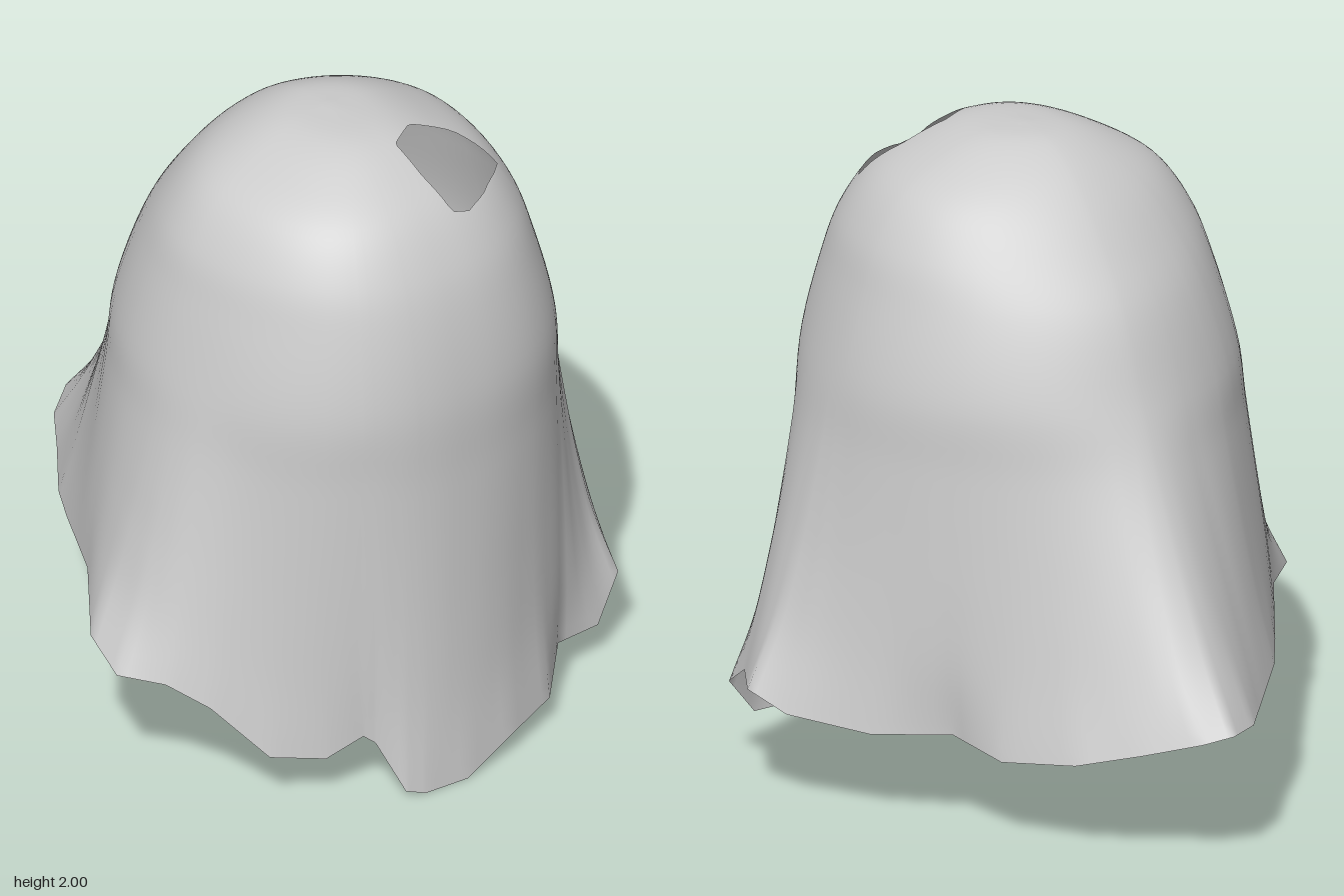
import * as THREE from 'three';

// Hem of the cloth, walked from the back corner past +x, the front and -x
const HEM = [
  [-0.02, 0.42, -0.97], [0.07, 0.40, -0.94], [0.2, 0.35, -0.81], [0.34, 0.295, -0.65],
  [0.46, 0.26, -0.42], [0.51, 0.295, -0.22], [0.69, 0.275, -0.04], [0.85, 0.30, 0.18],
  [0.915, 0.355, 0.30], [0.81, 0.34, 0.50], [0.77, 0.25, 0.66], [0.66, 0.125, 0.70],
  [0.5, 0.13, 0.71], [0.33, 0.09, 0.88], [0.13, 0.07, 0.945], [-0.05, 0.0, 0.965],
  [-0.2, 0.0, 0.95], [-0.26, 0.02, 0.93], [-0.32, 0.18, 0.86], [-0.35, 0.205, 0.84],
  [-0.46, 0.15, 0.80], [-0.61, 0.175, 0.72], [-0.74, 0.34, 0.60], [-0.83, 0.41, 0.50],
  [-0.92, 0.42, 0.38], [-0.89, 0.47, 0.22], [-0.7, 0.51, -0.03], [-0.52, 0.46, -0.35],
  [-0.43, 0.44, -0.50], [-0.25, 0.41, -0.73], [-0.14, 0.41, -0.88],
].map(p => new THREE.Vector3(...p));

// Dome rings: height, then reach to the sides, front and back
const RINGS = [
  [2.0, 0, 0, 0], [1.985, 0.15, 0.215, 0.15], [1.93, 0.29, 0.345, 0.27], [1.84, 0.43, 0.47, 0.38],
  [1.7, 0.525, 0.565, 0.50], [1.55, 0.575, 0.62, 0.605], [1.3, 0.64, 0.665, 0.705],
];

// Outline of the torn hole, seen from above (x, z)
const HOLE = [
  [0.04, 0.51], [0.14, 0.45], [0.28, 0.48], [0.38, 0.57], [0.33, 0.62],
  [0.22, 0.70], [0.14, 0.735], [0.08, 0.73], [0.05, 0.63],
];
const HOLE_X = 0.19, HOLE_Z = 0.6;
const CZ = 0.25; // the dome is centred a little forward
const ROWS = 60;
const STEPS = 5; // meridians per hem point

// Distance from the hole's middle to its outline in direction (dx, dz)
function holeReach(dx, dz) {
  for (let k = 0; k < HOLE.length; k++) {
    const [ax, az] = HOLE[k], [bx, bz] = HOLE[(k + 1) % HOLE.length];
    const px = ax - HOLE_X, pz = az - HOLE_Z, ex = bx - ax, ez = bz - az;
    const det = dx * ez - dz * ex;
    if (Math.abs(det) < 1e-9) continue;
    const dist = (px * ez - pz * ex) / det;
    const along = (px * dz - pz * dx) / det;
    if (dist > 0 && along >= 0 && along <= 1) return dist;
  }
  return 0;
}

// Point on the straight-edged hem, u counted in hem points
function hemAt(u) {
  const n = HEM.length, v = (u + n) % n, k = Math.floor(v);
  return HEM[k].clone().lerp(HEM[(k + 1) % n], v - k);
}

// Hem with its folds softened, which the cloth follows higher up
function softHemAt(u) {
  const sum = new THREE.Vector3();
  for (let k = -2; k <= 2; k++) sum.add(hemAt(u + k * 0.75));
  return sum.divideScalar(5);
}

// One fall line of the cloth, from the crown to a hem point
function meridian(u) {
  const hem = hemAt(u), soft = softHemAt(u);
  const angle = Math.atan2(hem.x, hem.z - CZ);
  const s = Math.sin(angle), c = Math.cos(angle);
  const power = c > 0 ? 2 + 0.3 * c : 2 + 0.25 * c; // squarer in front, pointed at the back
  const points = RINGS.map(([y, side, front, back]) => {
    const r = y === 2 ? 0 : Math.pow(
      Math.pow(Math.abs(s) / side, power) + Math.pow(Math.abs(c) / (c > 0 ? front : back), power), -1 / power);
    return new THREE.Vector3(s * r, y, CZ + c * r);
  });
  const shoulder = points[points.length - 1];
  for (const t of [0.2, 0.4, 0.6, 0.8, 1]) {
    const target = soft.clone().lerp(hem, Math.pow(t, 4));
    const p = shoulder.clone().lerp(target, Math.pow(t, 1.1));
    p.y = THREE.MathUtils.lerp(shoulder.y, hem.y, t);
    points.push(p);
  }
  return new THREE.CatmullRomCurve3(points).getPoints(ROWS);
}

function drapedCloth() {
  const cols = HEM.length * STEPS;
  const positions = [], index = [];
  for (let i = 0; i < cols; i++) {
    for (const p of meridian(i / STEPS)) positions.push(p.x, p.y, p.z);
  }
  const id = (i, j) => (i % cols) * (ROWS + 1) + j;
  for (let i = 0; i < cols; i++) {
    for (let j = 0; j < ROWS; j++) {
      const a = id(i, j), b = id(i + 1, j), c = id(i, j + 1), d = id(i + 1, j + 1);
      if (j > 0) index.push(a, b, c);
      index.push(b, d, c);
    }
  }
  const geometry = new THREE.BufferGeometry();
  geometry.setAttribute('position', new THREE.Float32BufferAttribute(positions, 3));
  geometry.setIndex(index);
  geometry.computeVertexNormals();
  const pos = geometry.attributes.position, nor = geometry.attributes.normal;
  for (let i = 0; i < cols; i++) nor.setXYZ(id(i, 0), 0, 1, 0);

  // Cut the hole: slide inner vertices along the surface to the outline, drop what lies within
  const inside = new Set();
  for (let v = 0; v < pos.count; v++) {
    const dx = pos.getX(v) - HOLE_X, dz = pos.getZ(v) - HOLE_Z, d = Math.hypot(dx, dz);
    if (pos.getY(v) < 1.6 || d > 0.3 || d < 1e-6) continue;
    const reach = holeReach(dx / d, dz / d);
    if (d >= reach) continue;
    inside.add(v);
    const mx = dx * (reach / d - 1), mz = dz * (reach / d - 1);
    const drop = (nor.getX(v) * mx + nor.getZ(v) * mz) / nor.getY(v);
    pos.setXYZ(v, pos.getX(v) + mx, pos.getY(v) - drop, pos.getZ(v) + mz);
  }
  const kept = [];
  for (let k = 0; k < index.length; k += 3) {
    const tri = index.slice(k, k + 3);
    if (!tri.every(v => inside.has(v))) kept.push(...tri);
  }
  geometry.setIndex(kept);
  return geometry;
}

export function createModel() {
  const group = new THREE.Group();
  group.name = 'drapedSheet';
  const material = new THREE.MeshStandardMaterial({ color: 0xcccccc, side: THREE.DoubleSide });
  const cloth = new THREE.Mesh(drapedCloth(), material);
  cloth.name = 'cloth';
  group.add(cloth);
  return group;
}
